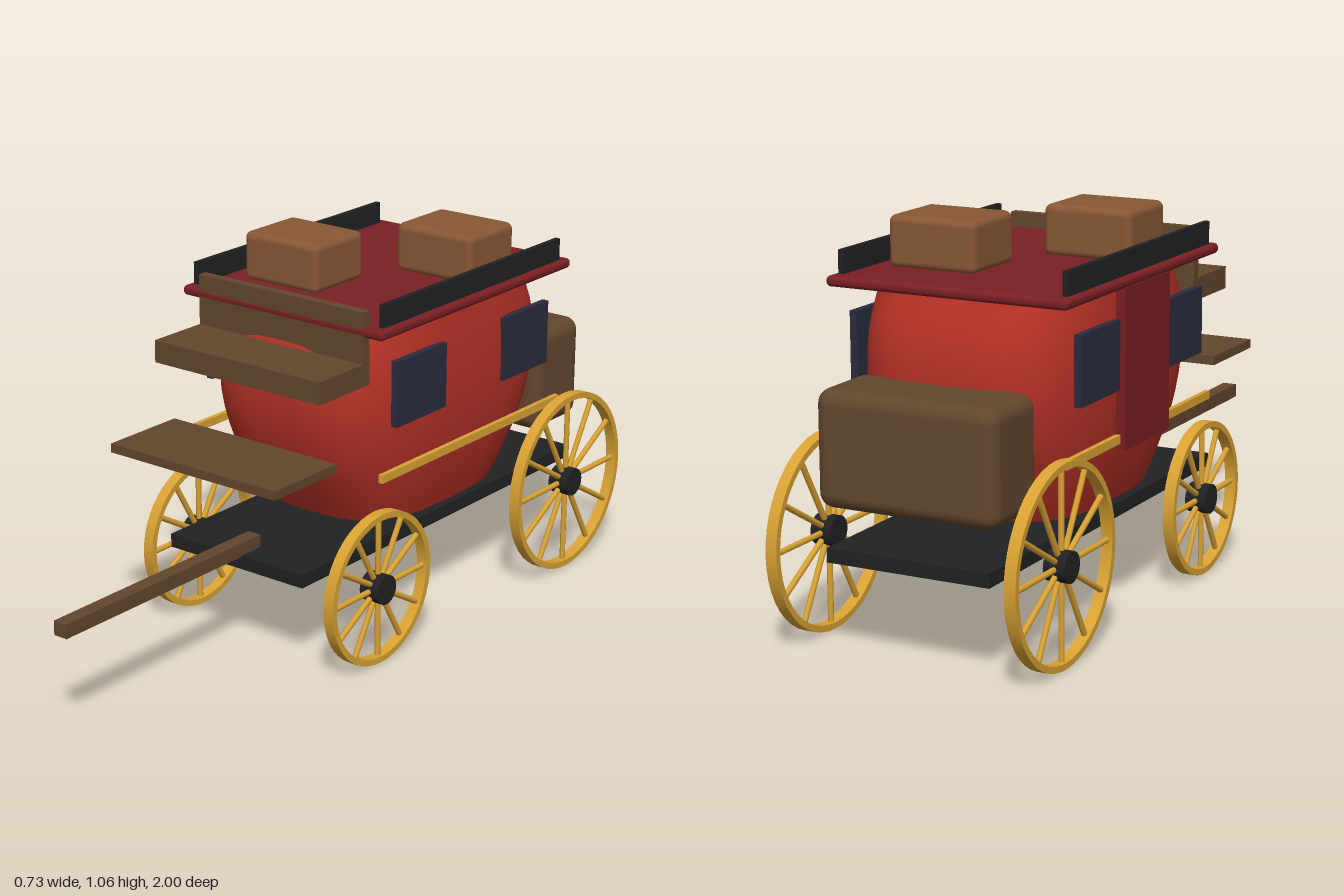
import * as THREE from 'three';
import { mergeVertices } from 'three/addons/utils/BufferGeometryUtils.js';
import { RoundedBoxGeometry } from 'three/addons/geometries/RoundedBoxGeometry.js';

const mat = (name, color) => {
  const m = new THREE.MeshStandardMaterial({ color });
  m.name = name;
  return m;
};

// Coach body: a superellipse plan that swells and tapers along the height
function bodyGeometry() {
  const profile = new THREE.CatmullRomCurve3([ // half width, y, half length
    [0.255, 0.32, 0.328], [0.281, 0.40, 0.375], [0.308, 0.52, 0.437],
    [0.322, 0.66, 0.473], [0.32, 0.79, 0.463], [0.31, 0.89, 0.418],
  ].map(p => new THREE.Vector3(...p)));
  let g = new THREE.CylinderGeometry(1, 1, 1, 64, 14);
  g.deleteAttribute('uv');
  g = mergeVertices(g);
  const pos = g.attributes.position;
  const bend = v => Math.sign(v) * Math.pow(Math.abs(v), 2 / 3.2);
  for (let i = 0; i < pos.count; i++) {
    const p = profile.getPoint(THREE.MathUtils.clamp(pos.getY(i) + 0.5, 0, 1));
    pos.setXYZ(i, bend(pos.getX(i)) * p.x, p.y, bend(pos.getZ(i)) * p.z);
  }
  g.computeVertexNormals();
  return g;
}

export function createModel() {
  const red = mat('body red', 0xb53126);
  const maroon = mat('roof maroon', 0x7a2024);
  const gold = mat('wheel gold', 0xd9a233);
  const black = mat('iron black', 0x202122);
  const wood = mat('dark wood', 0x62462d);
  const leather = mat('luggage tan', 0x885735);
  const glass = mat('window blue', 0x2a2c3d);

  const model = new THREE.Group();
  model.name = 'stagecoach';
  const coach = new THREE.Group();
  coach.name = 'coach';
  coach.position.x = -0.0165;
  model.add(coach);

  const add = (parent, name, geometry, material) => {
    const m = new THREE.Mesh(geometry, material);
    m.name = name;
    parent.add(m);
    return m;
  };
  // Box given by its extents; a radius rounds the edges
  const box = (name, material, [x0, x1], [y0, y1], [z0, z1], radius = 0) => {
    const size = [x1 - x0, y1 - y0, z1 - z0];
    const g = radius ? new RoundedBoxGeometry(...size, 4, radius) : new THREE.BoxGeometry(...size);
    add(coach, name, g, material).position.set((x0 + x1) / 2, (y0 + y1) / 2, (z0 + z1) / 2);
  };

  // Body, roof and undercarriage
  add(coach, 'body', bodyGeometry(), red).position.z = -0.3025;
  box('roof', maroon, [-0.342, 0.342], [0.902, 0.93], [-0.745, 0.14], 0.012);
  box('chassis', black, [-0.23, 0.23], [0.249, 0.287], [-0.935, 0.33]);
  box('pole', wood, [-0.021, 0.021], [0.284, 0.323], [0.25, 1]);
  box('door', maroon, [-0.342, -0.316], [0.485, 0.905], [-0.43, -0.17]);

  // Side windows, roof rails and trim
  for (const s of [-1, 1]) {
    const span = (a, b) => (s > 0 ? [a, b] : [-b, -a]);
    box('frontWindow', glass, span(0.311, 0.331), [0.643, 0.825], [-0.163, 0.056]);
    box('rearWindow', glass, span(0.311, 0.331), [0.643, 0.825], [-0.65, -0.436]);
    box('roofRail', black, span(0.31, 0.325), [0.928, 0.992], [-0.708, 0.11]);
    box('sideTrim', gold, span(0.316, 0.33), [0.503, 0.526], [-0.72, 0.115]);
  }

  // Driver's bench and footboard
  box('seat', wood, [-0.281, 0.281], [0.768, 0.83], [0.126, 0.322]);
  box('seatBack', wood, [-0.281, 0.281], [0.768, 0.971], [0.112, 0.139]);
  box('footboard', wood, [-0.281, 0.281], [0.563, 0.588], [0.25, 0.503]);

  // Luggage
  box('rearTrunk', wood, [-0.254, 0.254], [0.388, 0.692], [-0.95, -0.722], 0.04);
  box('roofCaseRight', leather, [-0.256, -0.002], [0.925, 1.063], [-0.23, -0.018], 0.02);
  box('roofCaseLeft', leather, [0.017, 0.271], [0.925, 1.063], [-0.56, -0.348], 0.02);

  // Wheels: rim band, twelve spokes and hub, with the axle along x
  const wheel = (name, R, x, z) => {
    const w = new THREE.Group();
    w.name = name;
    const r = R - 0.017, h = 0.016;
    const section = [[r, -h], [R, -h], [R, -h], [R, h], [R, h], [r, h], [r, h], [r, -h]];
    // Each side is its own band so that the edges stay sharp
    for (let i = 0; i < 4; i++) {
      const a = section[i * 2], b = section[i * 2 + 1];
      const g = new THREE.LatheGeometry([new THREE.Vector2(...a), new THREE.Vector2(...b)], 48);
      add(w, 'rim', g, gold);
    }
    for (let i = 0; i < 12; i++) {
      const angle = i * Math.PI / 6, mid = (R - 0.008) / 2;
      const spoke = add(w, 'spoke', new THREE.CylinderGeometry(0.008, 0.008, R - 0.016, 8), gold);
      spoke.position.set(Math.cos(angle) * mid, 0, Math.sin(angle) * mid);
      spoke.rotation.set(Math.PI / 2, 0, angle - Math.PI / 2);
    }
    add(w, 'hub', new THREE.CylinderGeometry(0.041, 0.041, 0.06, 24), black);
    w.rotation.z = Math.PI / 2;
    w.position.set(x, R, z);
    model.add(w);
  };
  for (const s of [-1, 1]) {
    wheel('frontWheel', 0.214, s * 0.316, 0.135);
    wheel('rearWheel', 0.264, s * 0.337, -0.735);
  }
  return model;
}
